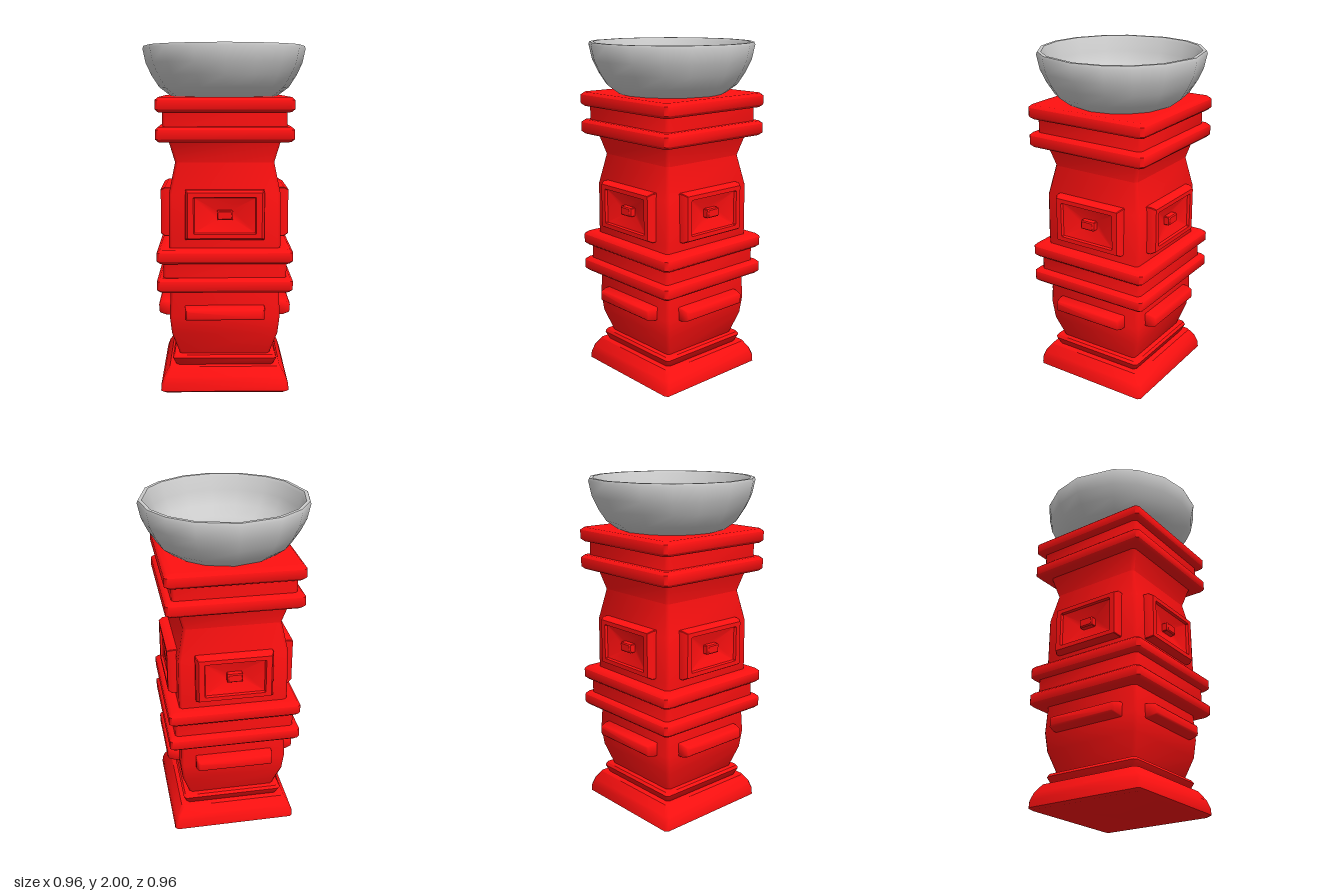
import * as THREE from 'three';
import { toCreasedNormals } from 'three/addons/utils/BufferGeometryUtils.js';

// Skin a stack of closed rings ({ pts: [[x, y], ...], z }) along z, capped at both ends.
function loft(rings, crease) {
  const n = rings[0].pts.length, pos = [], idx = [];
  for (const { pts, z } of rings) for (const [x, y] of pts) pos.push(x, y, z);
  for (let i = 0; i < rings.length - 1; i++) {
    for (let j = 0; j < n; j++) {
      const k = (j + 1) % n, a = i * n + j, b = i * n + k;
      idx.push(a, b, b + n, a, b + n, a + n);
    }
  }
  const top = (rings.length - 1) * n;
  for (let j = 1; j < n - 1; j++) {
    idx.push(0, j + 1, j, top, top + j, top + j + 1);
  }
  const geo = new THREE.BufferGeometry();
  geo.setAttribute('position', new THREE.Float32BufferAttribute(pos, 3));
  geo.setIndex(idx);
  return toCreasedNormals(geo, crease);
}

// Rectangle with chamfered corners, counter-clockwise
function rect(w, h, c) {
  return [[w, -h + c], [w, h - c], [w - c, h], [-w + c, h],
    [-w, h - c], [-w, -h + c], [-w + c, -h], [w - c, -h]];
}

export function createModel() {
  const model = new THREE.Group();
  const red = new THREE.MeshStandardMaterial({ color: 0xff1010 });
  const grey = new THREE.MeshStandardMaterial({ color: 0xcccccc });

  const add = (name, geo, mat, parent = model) => {
    const mesh = new THREE.Mesh(geo, mat);
    mesh.name = name;
    parent.add(mesh);
    return mesh;
  };

  // Square upright part from [half width, height] pairs
  const square = (name, profile) => add(name,
    loft(profile.map(([w, z]) => ({ pts: rect(w, w, 0.016), z })), 0.9).rotateX(-Math.PI / 2), red);

  square('plinth', [[0.355, 0], [0.372, 0.012], [0.37, 0.05], [0.355, 0.095], [0.322, 0.145], [0.28, 0.145]]);
  square('plinthStep', [[0.28, 0.14], [0.285, 0.145], [0.305, 0.19], [0.295, 0.207], [0.25, 0.207]]);
  square('lowerBody', [[0.262, 0.2], [0.308, 0.34], [0.32, 0.45], [0.312, 0.61]]);
  square('middleNeck', [[0.352, 0.67], [0.352, 0.78]]);
  square('upperBody', [[0.318, 0.84], [0.32, 0.9], [0.318, 1.16], [0.282, 1.34], [0.318, 1.47]]);
  square('topNeck', [[0.348, 1.53], [0.348, 1.64]]);

  // Projecting bands around the column
  for (const [y0, y1] of [[0.603, 0.686], [0.77, 0.852], [1.46, 1.545], [1.625, 1.708]]) {
    square('band', [[0.34, y0], [0.37, y0], [0.387, y0 + 0.016],
      [0.387, y1 - 0.016], [0.37, y1], [0.34, y1]]);
  }

  // Sunken panel with a central stud, and a bar below it: [half width, half height, outward]
  const panel = loft([
    [0.225, 0.143, 0.29], [0.225, 0.143, 0.345], [0.21, 0.13, 0.37], [0.178, 0.105, 0.37],
    [0.172, 0.1, 0.355], [0.045, 0.026, 0.324], [0.045, 0.026, 0.355], [0.038, 0.02, 0.362],
  ].map(([w, h, z]) => ({ pts: rect(w, h, 0.004), z })), 0.6);
  const bar = loft([
    [0.23, 0.042, 0.29], [0.23, 0.04, 0.345], [0.222, 0.03, 0.38], [0.212, 0.022, 0.387],
  ].map(([w, h, z]) => ({ pts: rect(w, h, 0.005), z })), 0.9);

  for (let i = 0; i < 4; i++) {
    const side = new THREE.Group();
    side.name = 'sideOrnament';
    side.rotation.y = i * Math.PI / 2;
    add('panel', panel, red, side).position.y = 1.047;
    add('bar', bar, red, side).position.y = 0.473;
    model.add(side);
  }

  // Faceted bowl with unevenly spaced sides, mirrored left to right
  const half = [0, 28, 49, 68, 90, 119, 137, 159, 180];
  const angles = [...half, ...half.slice(1, -1).reverse().map((a) => 360 - a)].reverse();
  const circle = (r) => angles.map((a) => {
    const t = THREE.MathUtils.degToRad(a);
    return [r * Math.sin(t), r * Math.cos(t)];
  });
  const bowl = [
    [0.3, 1.7], [0.325, 1.715], [0.385, 1.76], [0.43, 1.83], [0.463, 1.9], [0.481, 1.985], [0.475, 2],
    [0.455, 2], [0.445, 1.985], [0.425, 1.91], [0.385, 1.83], [0.31, 1.78], [0.16, 1.76], [0.04, 1.757],
  ];
  add('bowl', loft(bowl.map(([r, z]) => ({ pts: circle(r), z })), 0.85).rotateX(-Math.PI / 2), grey);

  return model;
}
